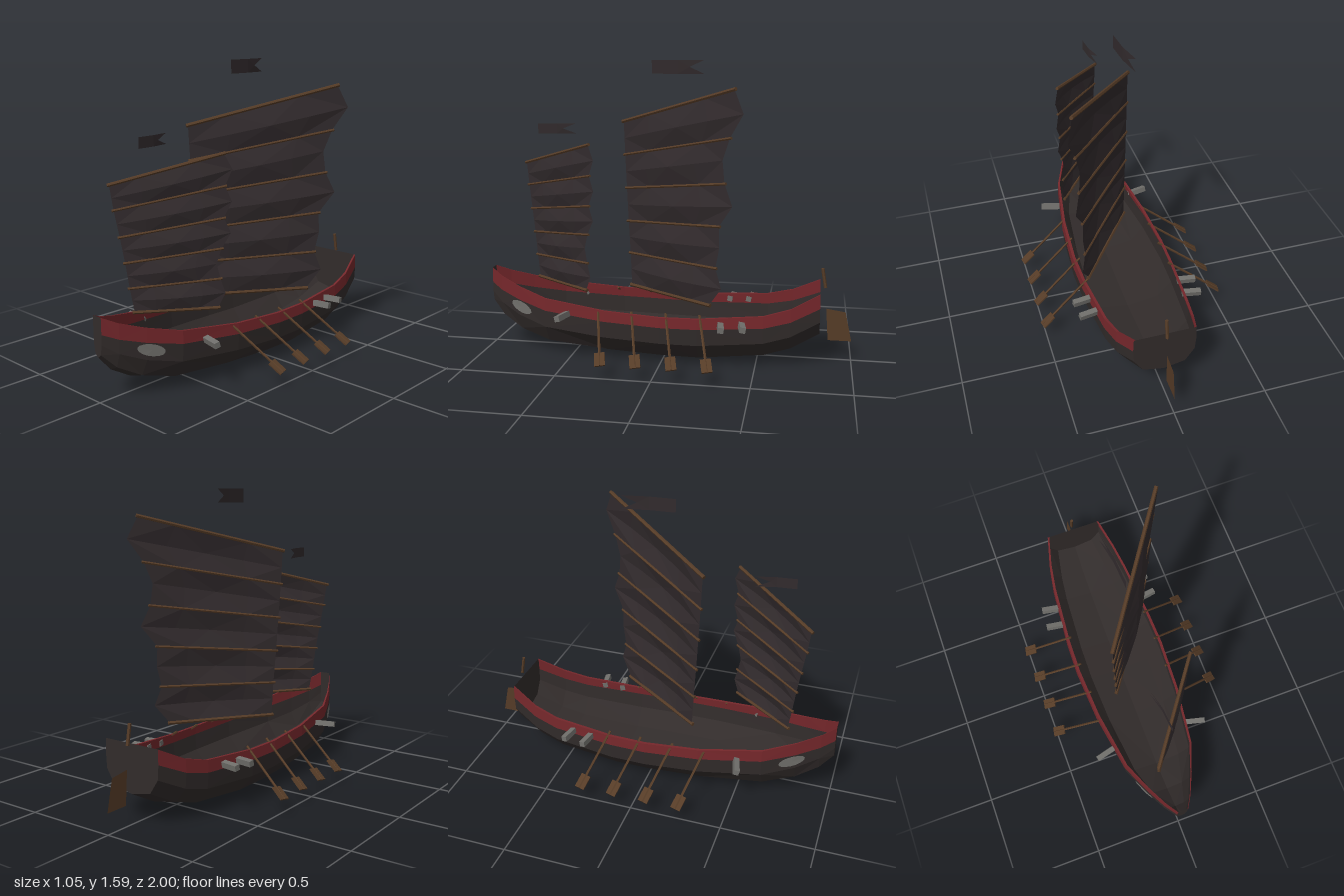
import * as THREE from 'three';

const mat = (name, color, side = THREE.FrontSide) => {
  const m = new THREE.MeshStandardMaterial({ color, side, flatShading: true });
  m.name = name;
  return m;
};

function fromPositions(pos) {
  const g = new THREE.BufferGeometry();
  g.setAttribute('position', new THREE.Float32BufferAttribute(pos, 3));
  g.computeVertexNormals();
  return g;
}

// Quad sheet from rows of points; mirrored sheets flip x and winding
function sheet(rows, mirror = false) {
  const pos = [];
  const put = (p) => pos.push(mirror ? -p[0] : p[0], p[1], p[2]);
  for (let i = 0; i < rows.length - 1; i++) {
    for (let j = 0; j < rows[i].length - 1; j++) {
      const a = rows[i][j], b = rows[i + 1][j], c = rows[i + 1][j + 1], d = rows[i][j + 1];
      const tris = (i + j) % 2 ? [a, b, c, a, c, d] : [a, b, d, b, c, d];
      (mirror ? tris.reverse() : tris).forEach(put);
    }
  }
  return fromPositions(pos);
}

// Triangle fan around a centre point
function fan(centre, ring, flip) {
  const pos = [];
  ring.forEach((p, i) => {
    const q = ring[(i + 1) % ring.length];
    pos.push(...centre, ...(flip ? q : p), ...(flip ? p : q));
  });
  return fromPositions(pos);
}

// Hull stations: z, half width, rail height, keel height
const STATIONS = [
  [1.0, 0.03, 0.435, 0.23], [0.93, 0.075, 0.4, 0.15], [0.81, 0.135, 0.36, 0.08],
  [0.64, 0.205, 0.318, 0.035], [0.3, 0.257, 0.28, 0.015], [0, 0.274, 0.265, 0.004],
  [-0.2, 0.268, 0.265, 0], [-0.54, 0.237, 0.288, 0.03], [-0.68, 0.212, 0.325, 0.07],
  [-0.83, 0.167, 0.4, 0.15],
];
const section = ([z, w, top, keel]) => {
  const band = top - 0.055 - 0.03 * z * z, h = band - keel;
  return [
    [0, keel, z], [0.68 * w, keel + 0.14 * h, z], [0.97 * w, keel + 0.57 * h, z], [w, band, z],
    [0.985 * w, top, z], [0.925 * w, top, z],
  ];
};
const halfWidth = (z) => {
  const i = STATIONS.findIndex((s) => s[0] <= z), a = STATIONS[i - 1], b = STATIONS[i];
  return THREE.MathUtils.mapLinear(z, a[0], b[0], a[1], b[1]);
};

export function createModel() {
  const model = new THREE.Group();
  const M = {
    hull: mat('dark hull wood', 0x322c2b, THREE.DoubleSide),
    red: mat('red rail paint', 0x75272b, THREE.DoubleSide),
    sail: mat('dark sailcloth', 0x322b2d, THREE.DoubleSide),
    wood: mat('brown wood', 0x563c27, THREE.DoubleSide),
    iron: mat('grey iron', 0x706f6b),
  };
  const add = (name, geo, material, parent = model) => {
    const m = new THREE.Mesh(geo, material);
    m.name = name;
    parent.add(m);
    return m;
  };
  const group = (name) => {
    const g = new THREE.Group();
    g.name = name;
    model.add(g);
    return g;
  };
  // Straight bar from a to b: round with the given sides, or square
  const bar = (name, a, b, r, sides, material, parent) => {
    const A = new THREE.Vector3(...a), B = new THREE.Vector3(...b), d = B.clone().sub(A);
    const geo = sides === 4
      ? new THREE.BoxGeometry(2 * r, d.length(), 2 * r)
      : new THREE.CylinderGeometry(r, r, d.length(), sides);
    const m = add(name, geo, material, parent);
    m.position.copy(A).add(B).multiplyScalar(0.5);
    m.quaternion.setFromUnitVectors(new THREE.Vector3(0, 1, 0), d.normalize());
  };

  // Open hull shell with a painted rail
  const hull = group('hull');
  const sections = STATIONS.map(section);
  for (const mirror of [false, true]) {
    const strip = (from, to) => sheet(sections.map((s) => s.slice(from, to + 1)), mirror);
    add('hullSide', strip(0, 3), M.hull, hull);
    add('redRail', strip(3, 5), M.red, hull);
  }
  // Flat bow and stern ends
  [sections[0], sections[sections.length - 1]].forEach((s, i) => {
    const half = s.slice(0, 5);
    const ring = [...half, ...half.slice(1).reverse().map(([x, y, z]) => [-x, y, z])];
    add(i ? 'transom' : 'bowFace', fan([0, (s[0][1] + s[4][1]) / 2, s[0][2]], ring, i === 1), M.hull, hull);
  });

  // Battened sails; rows are front z, back z, front y, back y from the foot up
  const makeSail = (name, z0, k, rows, bulges, belly, r) => {
    const g = group(name), cols = 4, L = Math.hypot(1, k);
    const at = (z, y, off = 0) => [-(z - z0) * k + off / L, y, z + (off * k) / L];
    const all = [];
    rows.forEach((row, i) => {
      all.push([...row, 0]);
      const n = rows[i + 1];
      if (n) {
        const mid = row.map((v, c) => (v + n[c]) / 2);
        mid[1] -= bulges[i];
        all.push([...mid, belly]);
      }
    });
    // Each panel billows between its battens
    const pts = all.map(([zf, zb, yf, yb, b]) => Array.from({ length: cols + 1 }, (_, c) => {
      const t = c / cols;
      return at(zf + (zb - zf) * t, yf + (yb - yf) * t, b * Math.sin(Math.PI * t));
    }));
    add('sailCloth', sheet(pts), M.sail, g);
    rows.forEach(([zf, zb, yf, yb], i) => {
      const yard = i === 0 || i === rows.length - 1;
      bar(yard ? 'yard' : 'batten', at(zf + 0.008, yf), at(zb - 0.008, yb), yard ? r * 1.3 : r, 6, M.wood, g);
    });
  };
  makeSail('mainSail', 0.08, 0.711, [
    [0.222, -0.26, 0.336, 0.338], [0.23, -0.295, 0.52, 0.542], [0.242, -0.312, 0.7, 0.763],
    [0.252, -0.34, 0.886, 0.985], [0.262, -0.367, 1.072, 1.215], [0.27, -0.387, 1.256, 1.455],
  ], [0.05, 0.012, 0.058, -0.025, 0.06], 0.03, 0.008);
  makeSail('foreSail', 0.69, 0.74, [
    [0.74, 0.405, 0.38, 0.38], [0.757, 0.395, 0.503, 0.53], [0.772, 0.39, 0.632, 0.685],
    [0.79, 0.38, 0.762, 0.84], [0.81, 0.375, 0.896, 1.0], [0.825, 0.38, 1.021, 1.162],
  ], [0.025, -0.018, 0.033, 0.03, 0.032], 0.024, 0.007);

  // Swallow-tailed pennants curling sideways
  for (const [z, len, y, h, notch] of [[0.085, 0.275, 1.52, 0.072, 0.2], [0.72, 0.205, 1.195, 0.055, 0.135]]) {
    const p = (d, yy) => [-0.034 * (d / len) ** 2, yy, z - d];
    add('pennant', sheet([
      [p(0, y), p(0, y + h / 2), p(0, y + h)],
      [p(len / 2, y), p(len / 2, y + h / 2), p(len / 2, y + h)],
      [p(len, y), p(notch, y + h / 2), p(len, y + h)],
    ]), M.sail);
  }

  // Oars, guns and bow eyes on both sides
  for (const s of [1, -1]) {
    for (const z of [0.335, 0.153, -0.03, -0.21]) {
      const oar = group('oar');
      const a = new THREE.Vector3(s * 0.235, 0.278, z), b = new THREE.Vector3(s * 0.515, 0.075, z - 0.078);
      bar('oarShaft', a.toArray(), b.toArray(), 0.007, 5, M.wood, oar);
      const dir = b.clone().sub(a).normalize();
      const side = new THREE.Vector3(0, 0, 1).addScaledVector(dir, -dir.z).normalize();
      const blade = add('oarBlade', new THREE.BoxGeometry(0.055, 0.08, 0.008), M.wood, oar);
      blade.quaternion.setFromRotationMatrix(
        new THREE.Matrix4().makeBasis(side, dir, side.clone().cross(dir)));
      blade.position.copy(b).addScaledVector(dir, -0.038);
    }
    // Square gun barrels: height, inner x and z, outer x and z
    for (const [y, xi, zi, xo, zo] of [
      [0.247, 0.225, 0.508, 0.333, 0.535], [0.238, 0.25, -0.32, 0.35, -0.335], [0.243, 0.24, -0.428, 0.342, -0.446],
    ]) {
      bar('gunBarrel', [s * xi, y, zi], [s * xo, y, zo], 0.015, 4, M.iron);
    }
    // Oval eye laid on the bow planking
    const onHull = (z, y) => [s * (halfWidth(z) * 0.99 + 0.005), y, z + 0.003];
    const ring = Array.from({ length: 14 }, (_, i) => {
      const t = (i / 14) * Math.PI * 2, u = 0.068 * Math.cos(t), v = 0.03 * Math.sin(t);
      return onHull(0.79 + u * 0.95 + v * 0.31, 0.247 + u * 0.31 - v * 0.95);
    });
    add('bowEye', fan(onHull(0.79, 0.247), ring, s < 0), M.iron);
  }

  // Rudder blade and its upright tiller
  add('rudderBlade', sheet([
    [[0, 0.105, -0.875], [0, 0.28, -0.863]],
    [[0, 0.105, -1.0], [0, 0.265, -0.965]],
  ]), M.wood);
  bar('tiller', [0, 0.5, -0.838], [0, 0.395, -0.856], 0.009, 6, M.wood);

  return model;
}
